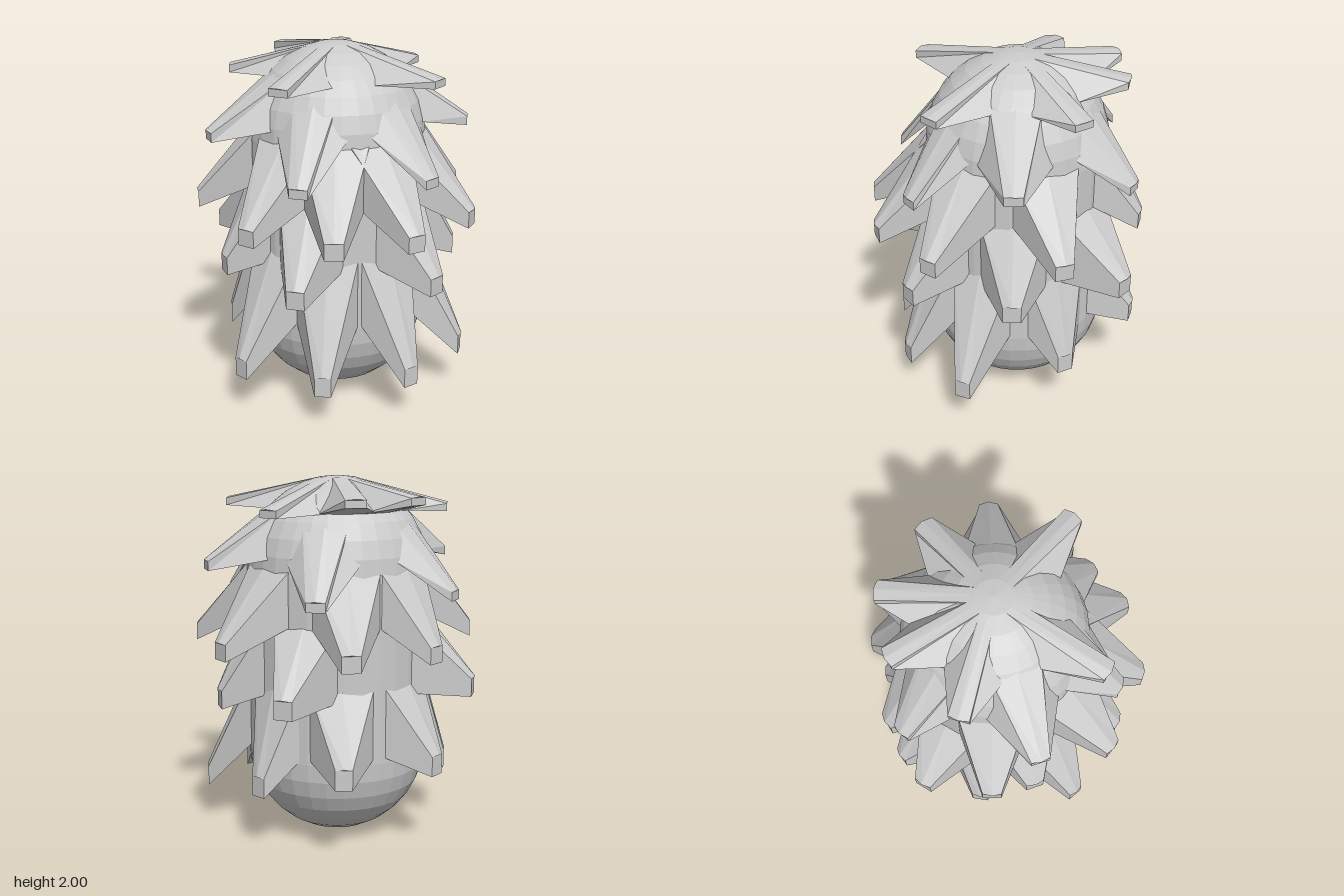
import * as THREE from 'three';

const R = 0.5, BODY_Z = -0.07;

// Radius of the capsule body at height y
function bodyRadius(y) {
  const d = y > 1.5 ? y - 1.5 : y < 0.5 ? 0.5 - y : 0;
  return Math.sqrt(Math.max(0, R * R - d * d));
}

// Tapered tuft: a wide root wrapped on the body, lofted to a small blunt tip
function tuftGeometry([x, y, z], row) {
  const angle = Math.atan2(x, z - BODY_Z);
  const root = [], tip = [];
  const steps = [[-1, 1], [0, 1], [1, 1], [1, -1], [0, -1], [-1, -1]];
  for (const [side, up] of steps) {
    const ry = up > 0 ? row.top : row.bottom;
    const a = angle + side * row.spread;
    const r = bodyRadius(ry) * 0.98;
    root.push([r * Math.sin(a), ry, BODY_Z + r * Math.cos(a)]);
    const bulge = side === 0 && up > 0 ? 0.012 : 0;
    const w = side * row.tipW / 2;
    tip.push([
      x + Math.cos(angle) * w + Math.sin(angle) * bulge,
      y + up * row.tipH / 2 + bulge / 2,
      z - Math.sin(angle) * w + Math.cos(angle) * bulge,
    ]);
  }
  const index = [];
  const n = steps.length;
  for (let i = 0; i < n; i++) {
    const j = (i + 1) % n;
    index.push(i, n + i, n + j, i, n + j, j);
    if (i > 0 && i < n - 1) index.push(n, n + i + 1, n + i);
  }
  const geo = new THREE.BufferGeometry();
  geo.setAttribute('position', new THREE.Float32BufferAttribute([...root, ...tip].flat(), 3));
  geo.setIndex(index);
  const flat = geo.toNonIndexed();
  flat.computeVertexNormals();
  return flat;
}

// Rows from crown to hem; each tip is mirrored left and right
const rows = [
  { name: 'crownTuft', top: 1.99, bottom: 1.82, spread: 0.42, tipW: 0.11, tipH: 0.04,
    tips: [[0.43, 1.84, 0.42], [0.53, 1.83, -0.34], [0.18, 1.89, -0.63]] },
  { name: 'upperTuft', top: 1.86, bottom: 1.58, spread: 0.42, tipW: 0.1, tipH: 0.05,
    tips: [[0.36, 1.34, 0.54], [0.73, 1.54, 0.03], [0.41, 1.39, -0.64]] },
  { name: 'middleTuft', top: 1.54, bottom: 1.24, spread: 0.38, tipW: 0.1, tipH: 0.09,
    tips: [[0.22, 1.08, 0.72], [0.62, 1.1, 0.46], [0.76, 1.12, -0.23], [0.25, 1.1, -0.72]] },
  { name: 'lowerTuft', top: 1.25, bottom: 0.85, spread: 0.38, tipW: 0.1, tipH: 0.1,
    tips: [[0.39, 0.77, 0.57], [0.67, 0.8, 0.03], [0.57, 0.87, -0.59]] },
  { name: 'hemTuft', top: 0.92, bottom: 0.53, spread: 0.36, tipW: 0.09, tipH: 0.11,
    tips: [[0.25, 0.255, 0.59], [0.64, 0.28, 0.3], [0.58, 0.37, -0.28], [0.28, 0.49, -0.7]] },
];

export function createModel() {
  const model = new THREE.Group();
  const material = new THREE.MeshStandardMaterial({ color: 0xcccccc, flatShading: true });

  // Capsule body
  const body = new THREE.Mesh(new THREE.CapsuleGeometry(R, 1, 8, 32), material);
  body.name = 'body';
  body.position.set(0, 1, BODY_Z);
  model.add(body);

  // Overlapping rows of tufts
  for (const row of rows) {
    const group = new THREE.Group();
    group.name = row.name + 'Row';
    for (const [x, y, z] of row.tips) {
      for (const side of [1, -1]) {
        const tuft = new THREE.Mesh(tuftGeometry([side * x, y, z], row), material);
        tuft.name = row.name;
        group.add(tuft);
      }
    }
    model.add(group);
  }
  return model;
}
